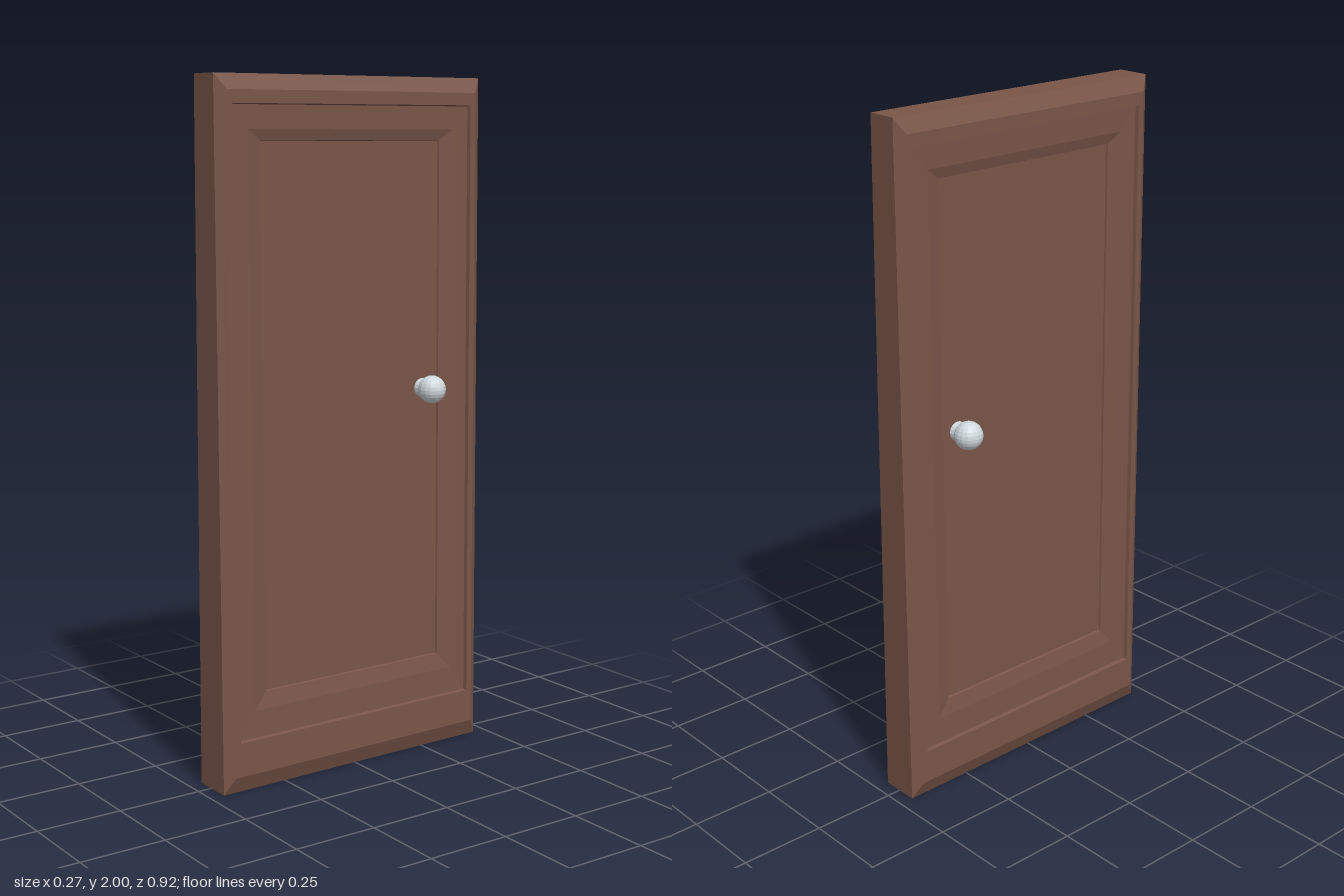
import * as THREE from 'three';

const wood = new THREE.MeshStandardMaterial({ color: 0x795548, flatShading: true });
const metal = new THREE.MeshStandardMaterial({ color: 0xcfd8dc, flatShading: true });

// Slightly crooked, tapering outer planes of the slab (side: +1 left, -1 right)
function planeX(side, y, z) {
  return side > 0
    ? 0.0765 + 0.0152 * z - 0.0068 * (y - 1)
    : -(0.0725 - 0.0055 * z - 0.0052 * (y - 1));
}

// Nested rectangles from the panel out to the edge: half width, bottom, top, depth
const profile = [
  [0.31, 0.28, 1.82, 0.028],   // panel floor
  [0.312, 0.278, 1.822, 0.022], // panel step
  [0.355, 0.23, 1.852, 0.013], // sloped moulding
  [0.409, 0.152, 1.918, 0.011], // recess floor
  [0.412, 0.149, 1.921, 0],    // frame inner edge
  [0.43, 0.05, 1.957, 0],      // frame outer edge
  [0.458, 0, 2, 0.021],        // chamfered rim
];

function ring(side, [h, y0, y1, depth]) {
  return [[h, y0], [-h, y0], [-h, y1], [h, y1]].map(
    ([z, y]) => [planeX(side, y, z) - side * depth, y, z]);
}

// Closed skin running from one panel, around the rim, to the other panel
function doorGeometry() {
  const rings = [
    ...profile.map((p) => ring(1, p)),
    ...[...profile].reverse().map((p) => ring(-1, p)),
  ];
  const index = [0, 1, 2, 0, 2, 3];
  for (let r = 0; r < rings.length - 1; r++) {
    for (let i = 0; i < 4; i++) {
      const j = (i + 1) % 4;
      const a = r * 4 + i, d = r * 4 + j, b = a + 4, c = d + 4;
      index.push(a, b, c, a, c, d);
    }
  }
  const e = (rings.length - 1) * 4;
  index.push(e, e + 2, e + 1, e, e + 3, e + 2);
  const geo = new THREE.BufferGeometry();
  geo.setAttribute('position', new THREE.Float32BufferAttribute(rings.flat(2), 3));
  geo.setIndex(index);
  const flat = geo.toNonIndexed();
  flat.computeVertexNormals();
  return flat;
}

// Ball knob on a short neck
function knob(side) {
  const group = new THREE.Group();
  group.name = side > 0 ? 'leftKnob' : 'rightKnob';
  const neck = new THREE.Mesh(new THREE.CylinderGeometry(0.022, 0.03, 0.04, 16), metal);
  neck.name = 'knobNeck';
  neck.rotation.z = -side * Math.PI / 2;
  neck.position.x = side * 0.055;
  const ball = new THREE.Mesh(new THREE.SphereGeometry(0.041, 16, 12), metal);
  ball.name = 'knobBall';
  ball.position.x = side * 0.093;
  group.add(neck, ball);
  group.position.set(0, 1.1, -0.255);
  return group;
}

export function createModel() {
  const model = new THREE.Group();
  model.name = 'door';
  const slab = new THREE.Mesh(doorGeometry(), wood);
  slab.name = 'doorSlab';
  model.add(slab, knob(1), knob(-1));
  return model;
}
